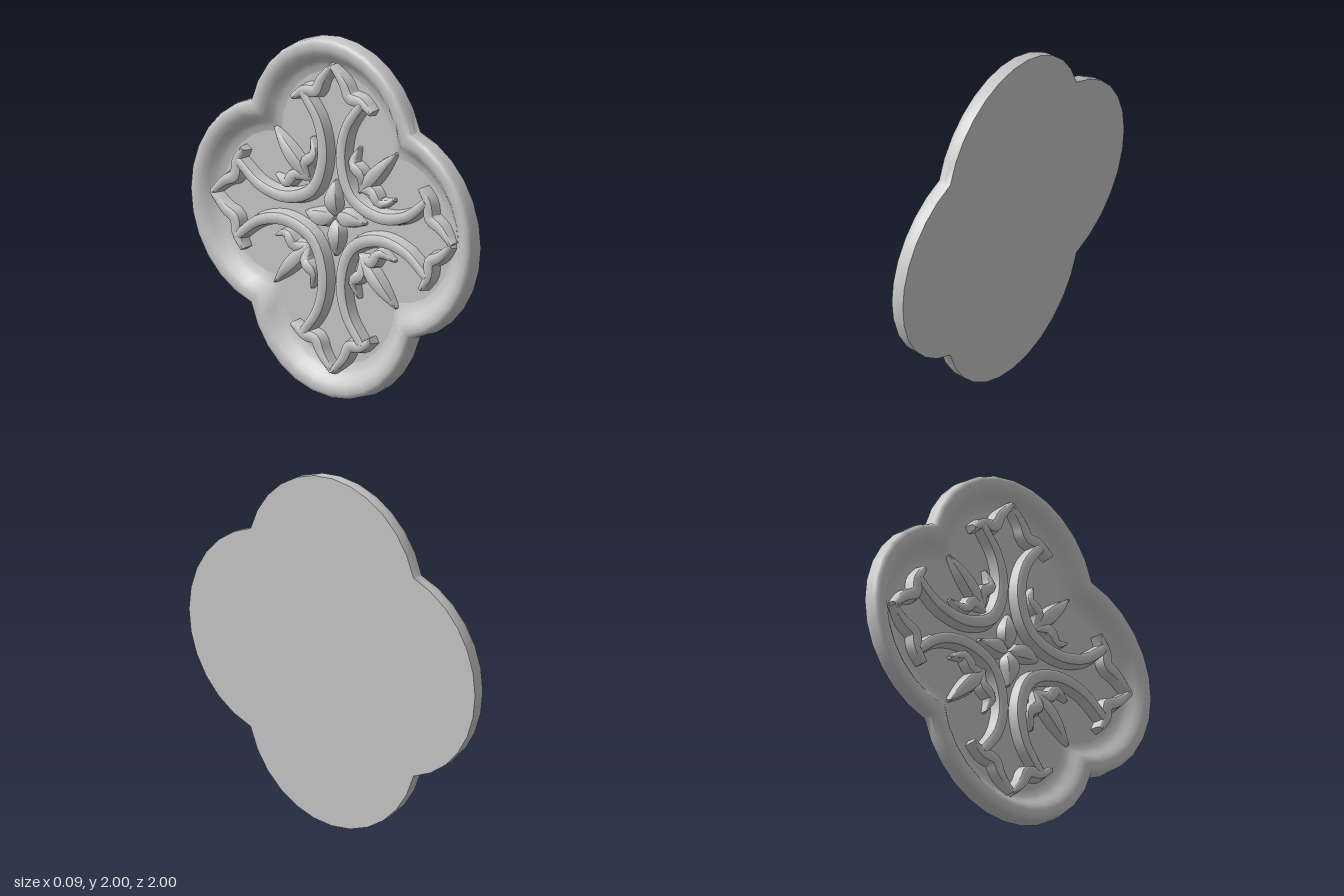
import * as THREE from 'three';
import { toCreasedNormals } from 'three/addons/utils/BufferGeometryUtils.js';

const FLOOR = -0.03; // height of the recessed panel
const LOBE = 0.407, RADIUS = 0.593, SEGMENTS = 12;

// Four-lobed outline, inset by d, counterclockwise
function quatrefoil(d) {
  const R = RADIUS - d, pts = [];
  const t = (LOBE + Math.sqrt(2 * R * R - LOBE * LOBE)) / 2; // notch on the diagonal
  const half = Math.atan2(t, t - LOBE);
  for (let q = 0; q < 4; q++) {
    for (let i = 0; i < SEGMENTS; i++) {
      const a = half * (2 * i / SEGMENTS - 1);
      pts.push(new THREE.Vector2(LOBE + R * Math.cos(a), R * Math.sin(a))
        .rotateAround(new THREE.Vector2(), q * Math.PI / 2));
    }
  }
  return pts;
}

// Join rows of points into a surface
function skin(rows, closed, crease) {
  const n = rows[0].length, index = [];
  for (let j = 0; j < rows.length - 1; j++) {
    for (let k = 0; k < (closed ? n : n - 1); k++) {
      const a = j * n + k, b = j * n + (k + 1) % n, c = a + n, d = b + n;
      index.push(a, b, c, b, d, c);
    }
  }
  const g = new THREE.BufferGeometry();
  g.setAttribute('position', new THREE.Float32BufferAttribute(rows.flat(2), 3));
  g.setIndex(index);
  return toCreasedNormals(g, crease);
}

// Raised strip following a curve; width(t) is the half width, height(t) the relief
function ribbon(points, width, height, steps = 18) {
  const curve = new THREE.CatmullRomCurve3(points.map(([x, y]) => new THREE.Vector3(x, y, 0)), false, 'centripetal');
  const section = [[1, 0], [0.72, 0.85], [0.3, 1], [-0.3, 1], [-0.72, 0.85], [-1, 0]];
  const rows = [];
  for (let i = 0; i <= steps; i++) {
    const t = i / steps, p = curve.getPoint(t), q = curve.getTangent(t);
    const w = width(t), h = height(t);
    rows.push(section.map(([s, z]) => [p.x - q.y * s * w, p.y + q.x * s * w, FLOOR + z * h]));
  }
  // closed ends
  const cap = (x) => { const p = curve.getPoint(x); return section.map(() => [p.x, p.y, FLOOR]); };
  return skin([cap(0), ...rows, cap(1)], false, 0.75);
}

export function createModel() {
  const stone = new THREE.MeshStandardMaterial({ color: 0xc6c6c6 });
  stone.name = 'light grey';
  const model = new THREE.Group();
  model.name = 'quatrefoilPlaque';
  const relief = new THREE.Group(); // drawn in XY, then turned to face -x
  relief.name = 'plaque';
  relief.rotation.y = -Math.PI / 2;
  relief.position.y = 1;
  model.add(relief);

  const add = (geometry, name, angle = 0) => {
    const mesh = new THREE.Mesh(geometry, stone);
    mesh.name = name;
    mesh.rotation.z = angle;
    relief.add(mesh);
    return mesh;
  };

  // Rounded rim: inset and height
  const profile = [[0, -0.045], [0.002, 0], [0.006, 0.025], [0.014, 0.038], [0.032, 0.045], [0.06, 0.044],
    [0.085, 0.035], [0.11, 0.015], [0.135, -0.008], [0.16, -0.022], [0.19, FLOOR]];
  add(skin(profile.map(([d, z]) => quatrefoil(d).map((p) => [p.x, p.y, z])), true, 0.8), 'rim');

  // Panel and flat back
  add(new THREE.ShapeGeometry(new THREE.Shape(quatrefoil(0.19))), 'panel').position.z = FLOOR;
  const back = add(new THREE.ShapeGeometry(new THREE.Shape(quatrefoil(0))), 'backFace');
  back.rotation.y = Math.PI;
  back.position.z = -0.045;

  // Ornament shapes, each repeated in the four quarters
  const swell = (t) => Math.sin(Math.PI * t);
  const scroll = ribbon([[0.21, 0.67], [0.1, 0.52], [0.065, 0.33], [0.14, 0.14], [0.33, 0.065], [0.52, 0.1], [0.67, 0.21]],
    (t) => 0.034 + 0.012 * swell(t), () => 0.068, 26);
  const crownHalf = ribbon([[0.28, 0.63], [0.2, 0.68], [0.12, 0.69], [0.08, 0.76], [0, 0.85]],
    (t) => 0.022 + 0.022 * swell(t), () => 0.066, 14);
  const crownOther = ribbon([[0, 0.85], [-0.08, 0.76], [-0.12, 0.69], [-0.2, 0.68], [-0.28, 0.63]],
    (t) => 0.022 + 0.022 * swell(t), () => 0.066, 14);
  const leaf = (points, w) => ribbon(points, (t) => 0.008 + w * swell(t ** 0.8), (t) => 0.03 + 0.036 * swell(t), 10);
  const middleLeaf = leaf([[0.17, 0.17], [0.3, 0.3], [0.43, 0.43]], 0.042);
  const sideLeaf = leaf([[0.18, 0.18], [0.27, 0.2], [0.33, 0.14], [0.42, 0.17]], 0.034);
  const otherLeaf = leaf([[0.18, 0.18], [0.2, 0.27], [0.14, 0.33], [0.17, 0.42]], 0.034);
  const petal = leaf([[0.01, 0], [0.1, 0.012], [0.21, 0]], 0.048);

  for (let q = 0; q < 4; q++) {
    const a = q * Math.PI / 2;
    add(scroll, 'scroll', a);
    add(crownHalf, 'lobeCrown', a);
    add(crownOther, 'lobeCrown', a);
    add(middleLeaf, 'paletteLeafMiddle', a);
    add(sideLeaf, 'leafSide', a);
    add(otherLeaf, 'leafSide', a);
    add(petal, 'centrePetal', a);
  }
  return model;
}
